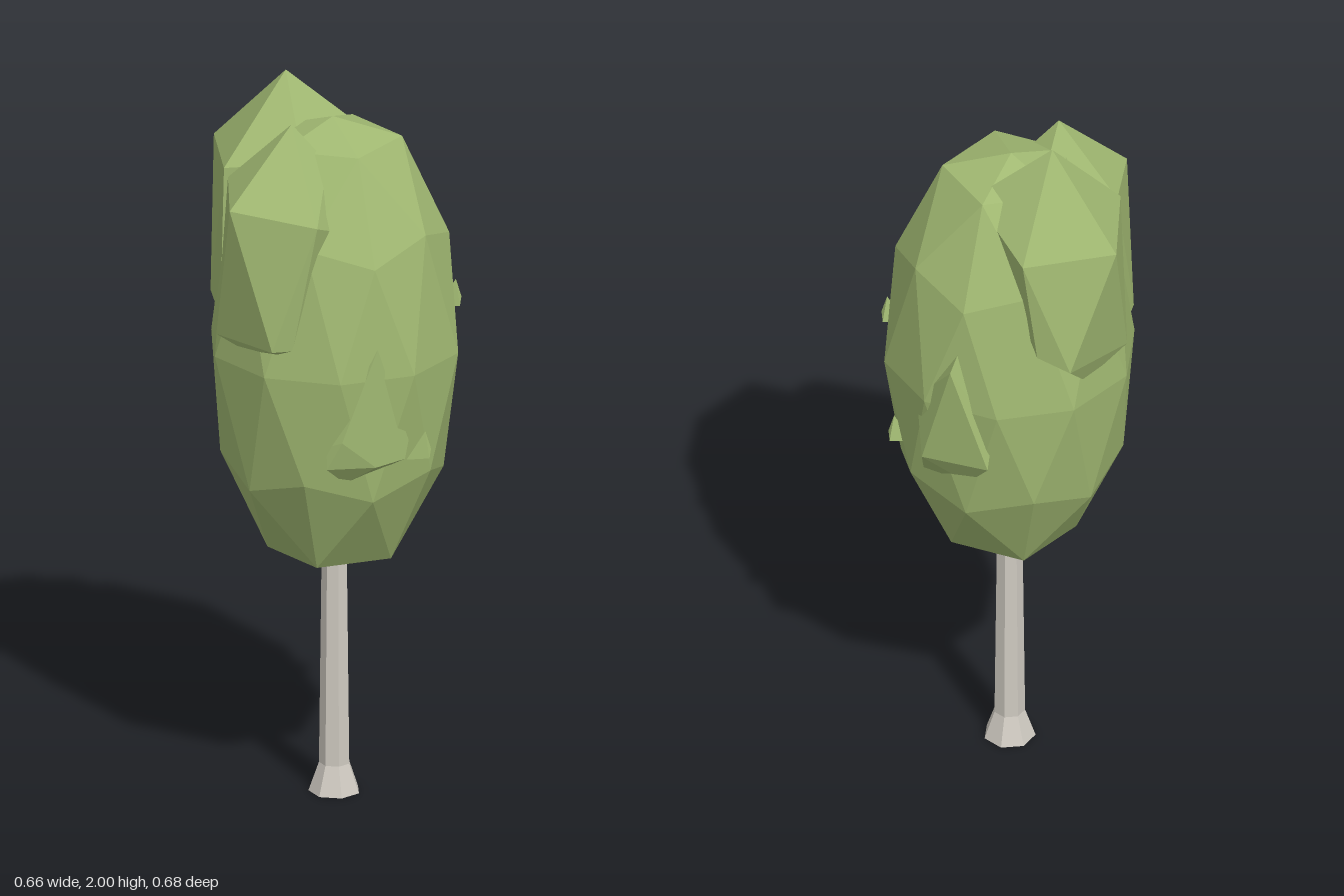
import * as THREE from 'three';
import { ConvexGeometry } from 'three/addons/geometries/ConvexGeometry.js';

const leafGreen = new THREE.MeshStandardMaterial({ color: 0xa1b972 });
leafGreen.name = 'leaf green';
const barkGrey = new THREE.MeshStandardMaterial({ color: 0xcfcac1 });
barkGrey.name = 'pale bark';

// Faceted solid wrapped around a few corner points
function clump(name, points) {
  const mesh = new THREE.Mesh(
    new ConvexGeometry(points.map((p) => new THREE.Vector3(...p))), leafGreen);
  mesh.name = name;
  return mesh;
}

// Corners of a stretched icosphere standing on its pole: rings of [latitude, first azimuth, count]
function crownPoints() {
  const points = [[-0.01, 1.905, -0.005], [-0.005, 0.635, 0]];
  const rings = [[58.28, 0, 5], [26.57, 0, 5], [31.72, 36, 5]];
  const add = (lat, az, sign) => {
    const a = THREE.MathUtils.degToRad(az), b = THREE.MathUtils.degToRad(lat);
    points.push([
      -0.005 + sign * 0.34 * Math.cos(b) * Math.cos(a),
      1.27 + sign * 0.68 * Math.sin(b),
      sign * 0.34 * Math.cos(b) * Math.sin(a),
    ]);
  };
  for (const [lat, start, count] of rings) {
    for (let i = 0; i < count; i++) {
      add(lat, start + i * 72, 1);
      add(lat, start + i * 72, -1);
    }
  }
  for (let i = 0; i < 10; i++) add(0, 18 + i * 36, 1);
  return points;
}

export function createModel() {
  const tree = new THREE.Group();
  tree.name = 'tree';

  // Seven-sided trunk: flared foot and slender stem
  const bark = (name, top, bottom, y0, y1) => {
    const geo = new THREE.CylinderGeometry(top, bottom, y1 - y0, 7).toNonIndexed();
    geo.computeVertexNormals();
    const mesh = new THREE.Mesh(geo, barkGrey);
    mesh.name = name;
    mesh.rotation.y = -Math.PI / 2;
    mesh.position.set(-0.005, (y0 + y1) / 2, 0);
    tree.add(mesh);
  };
  bark('trunkFoot', 0.042, 0.07, 0, 0.08);
  bark('trunkStem', 0.034, 0.042, 0.08, 0.75);

  // Main body of leaves
  tree.add(clump('crown', crownPoints()));

  // Large peaked clumps on the upper side
  tree.add(clump('backPeak', [
    [-0.13, 2.0, -0.11], [-0.315, 1.77, -0.25], [-0.07, 1.74, -0.295],
    [0.08, 1.83, -0.11], [-0.3, 1.77, 0.015], [-0.09, 1.78, 0.015],
    [-0.33, 1.38, -0.11], [-0.31, 1.35, 0.02], [-0.2, 1.43, -0.33],
    [-0.11, 1.46, -0.31], [-0.23, 1.33, -0.22],
  ]));
  tree.add(clump('frontPeak', [
    [-0.125, 1.93, 0.12], [-0.295, 1.73, 0.24], [-0.065, 1.7, 0.305],
    [-0.03, 1.82, 0.12], [-0.29, 1.75, 0.03], [-0.1, 1.83, 0.045],
    [-0.01, 1.66, 0.22], [-0.325, 1.34, 0.12], [-0.31, 1.33, 0.03],
    [-0.185, 1.35, 0.3], [-0.13, 1.35, 0.29], [-0.25, 1.32, 0.2], [-0.15, 1.32, 0.25],
  ]));

  // Smaller clumps half sunk in the crown
  tree.add(clump('backClump', [
    [0.1, 1.45, -0.28], [0.12, 1.41, -0.335], [0.02, 1.1, -0.335], [0.2, 1.1, -0.29],
    [0.22, 1.25, -0.22], [0.2, 1.03, -0.24], [0.08, 1.01, -0.27], [0.01, 1.2, -0.28],
  ]));
  tree.add(clump('frontClump', [
    [0.095, 1.36, 0.315], [0.0, 1.1, 0.325], [-0.04, 1.02, 0.31], [-0.04, 1.08, 0.3],
    [0.18, 1.08, 0.25], [0.17, 1.03, 0.26], [0.09, 1.03, 0.325], [0.01, 0.97, 0.28],
  ]));

  // Little tufts on the side
  for (const [x, y, z] of [[0.328, 1.38, -0.03], [0.3, 1.06, -0.125], [0.235, 1.05, 0.24]]) {
    tree.add(clump('tuft', [
      [x - 0.01, y + 0.05, z], [x, y - 0.02, z - 0.02], [x, y - 0.02, z + 0.02],
      [x + 0.005, y, z], [x - 0.06, y - 0.03, z],
    ]));
  }
  return tree;
}
